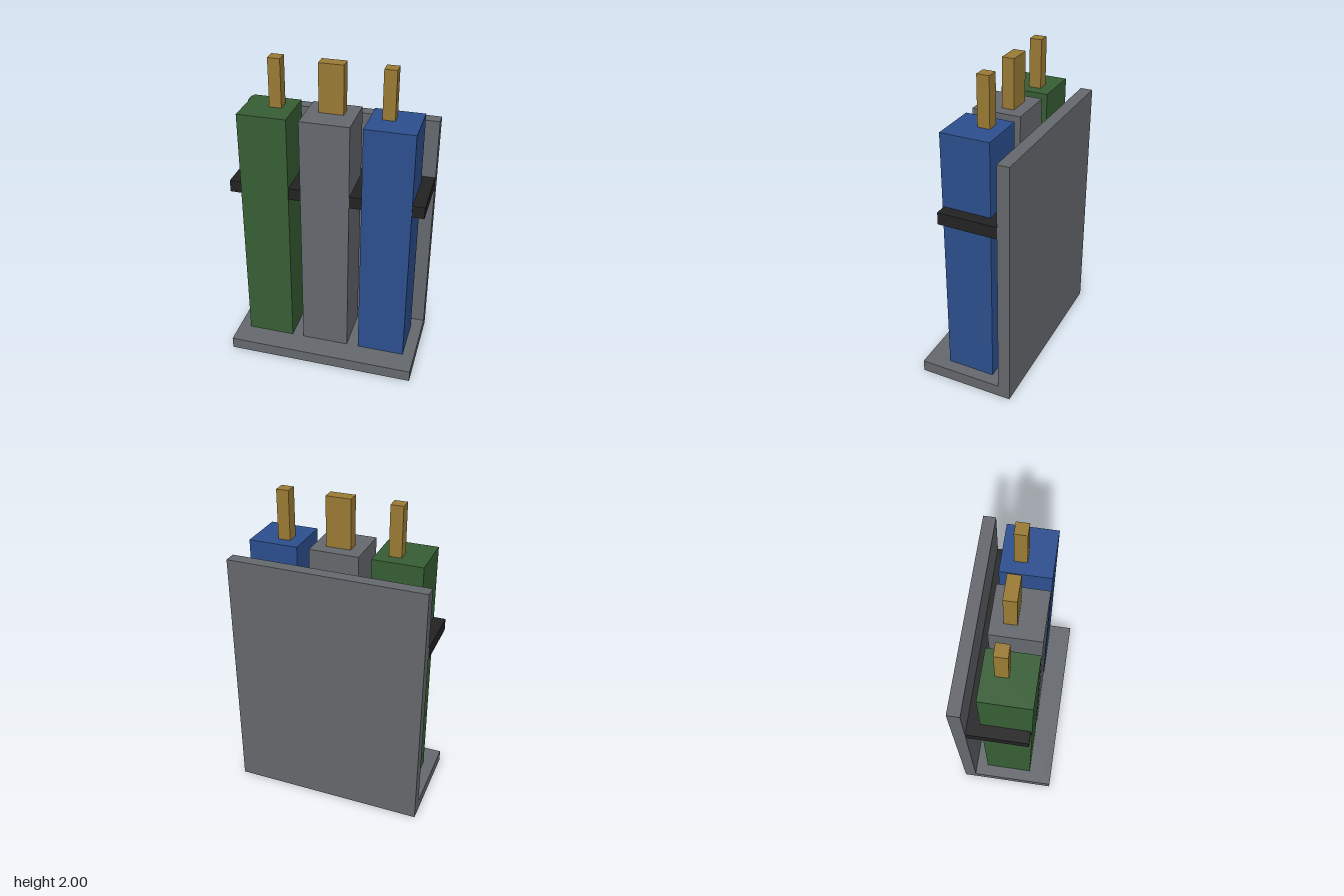
import * as THREE from 'three';

const U = 1 / 13; // grid unit: the model is 26 units tall

const material = (name, color, side = THREE.FrontSide) => {
  const m = new THREE.MeshStandardMaterial({ color, side });
  m.name = name;
  return m;
};

// Box given by its lower and upper corners in grid units
function box(name, mat, [x0, y0, z0], [x1, y1, z1], openBottom = false) {
  const geo = new THREE.BoxGeometry((x1 - x0) * U, (y1 - y0) * U, (z1 - z0) * U);
  geo.translate((x0 + x1) / 2 * U, (y0 + y1) / 2 * U, (z0 + z1) / 2 * U);
  if (openBottom) {
    // The downward face is the fourth of the six
    const index = Array.from(geo.index.array);
    index.splice(18, 6);
    geo.setIndex(index);
    geo.clearGroups();
  }
  const mesh = new THREE.Mesh(geo, mat);
  mesh.name = name;
  return mesh;
}

export function createModel() {
  const grey = material('steel grey', 0x66696e, THREE.DoubleSide);
  const green = material('bottle green', 0x375f35);
  const blue = material('bottle blue', 0x2d5091);
  const brass = material('brass', 0x9c7c35);
  const black = material('strap black', 0x232323);

  const model = new THREE.Group();
  model.name = 'gasBottleRack';

  // Rack: tray hollow underneath, with an upright back plate
  model.add(box('baseTray', grey, [-8, 0, -4], [8, 1, 4], true));
  model.add(box('backPlate', grey, [-8, 1, -4], [8, 21, -3], true));

  // Strap block, filling the gaps between the bottles
  model.add(box('strap', black, [-7.98, 15, -3], [7.98, 16, 1.9]));

  // Three bottles, each with a valve on top
  const bottles = [
    ['right', green, -7, -5, -4],
    ['middle', grey, -2, -1, 1],
    ['left', blue, 3, 4, 5],
  ];
  for (const [side, mat, x, v0, v1] of bottles) {
    const bottle = new THREE.Group();
    bottle.name = side + 'Bottle';
    bottle.add(box(side + 'Cylinder', mat, [x, 1, -2], [x + 4, 22, 2], true));
    bottle.add(box(side + 'Valve', brass, [v0, 22, -1], [v1, 26, 0]));
    model.add(bottle);
  }
  return model;
}
